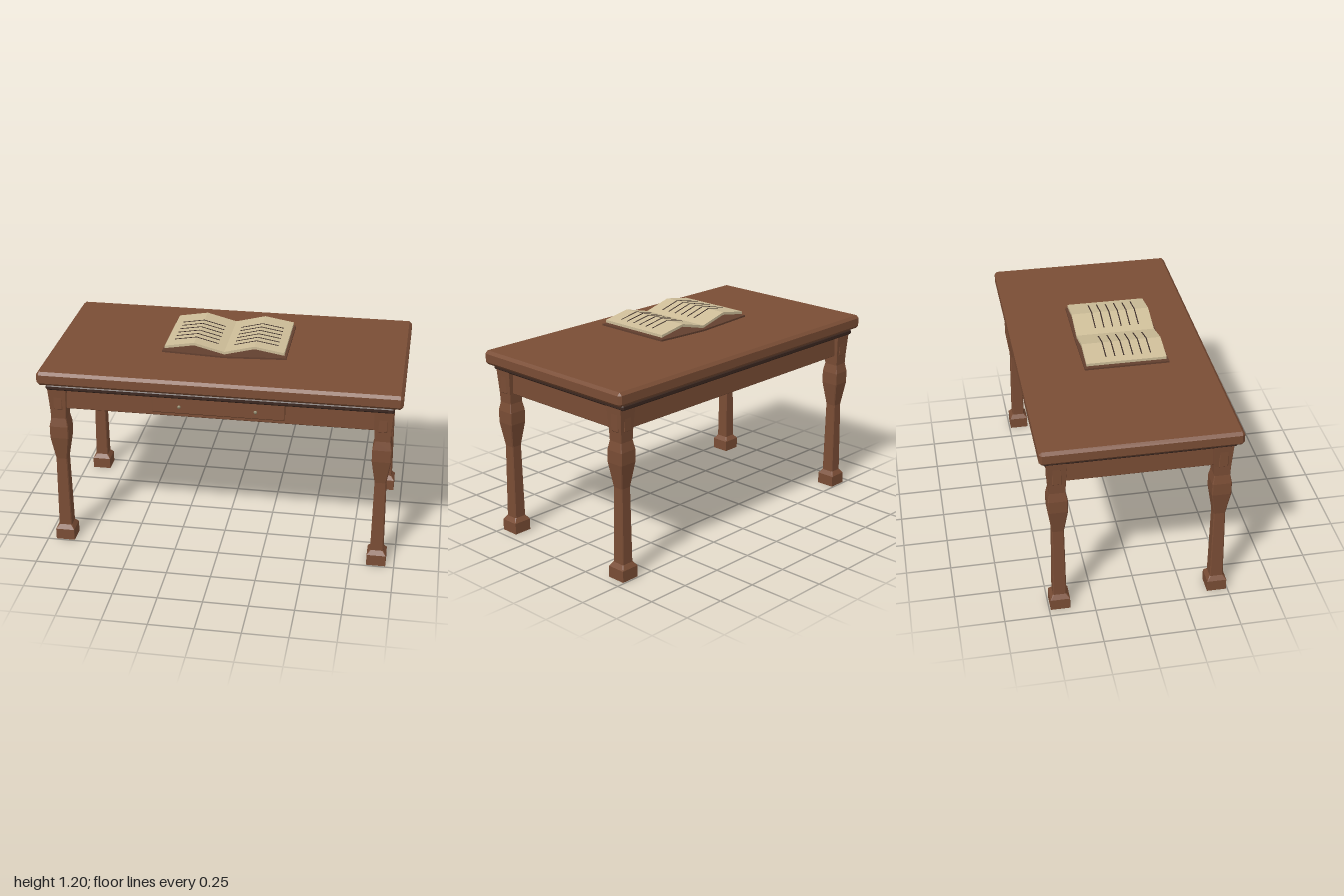
import * as THREE from 'three';
import { ConvexGeometry } from 'three/addons/geometries/ConvexGeometry.js';

const material = (name, color) => {
  const m = new THREE.MeshStandardMaterial({ color });
  m.name = name;
  return m;
};

// Box with every edge cut at 45 degrees, w/h/d overall sizes, b the cut
function chamferBox(w, h, d, b) {
  const points = [];
  for (const sx of [-1, 1]) for (const sy of [-1, 1]) for (const sz of [-1, 1]) {
    const x = w / 2, y = h / 2, z = d / 2;
    points.push(
      new THREE.Vector3(sx * x, sy * (y - b), sz * (z - b)),
      new THREE.Vector3(sx * (x - b), sy * y, sz * (z - b)),
      new THREE.Vector3(sx * (x - b), sy * (y - b), sz * z));
  }
  return new ConvexGeometry(points);
}

// Square leg with cut corners; rings are [y, half width, corner cut]
function legGeometry(rings) {
  const pos = [];
  const section = ([y, r, c]) => [
    [r, r - c], [r - c, r], [c - r, r], [-r, r - c],
    [-r, c - r], [c - r, -r], [r - c, -r], [r, c - r],
  ].map(([x, z]) => [x, y, z]);
  const loops = rings.map(section);
  for (let i = 0; i < loops.length - 1; i++) {
    for (let j = 0; j < 8; j++) {
      const k = (j + 1) % 8;
      const [a, b, c, d] = [loops[i][j], loops[i][k], loops[i + 1][k], loops[i + 1][j]];
      pos.push(...a, ...d, ...c, ...a, ...c, ...b);
    }
  }
  const bottom = loops[0], top = loops[loops.length - 1];
  for (let j = 1; j < 7; j++) {
    pos.push(...bottom[0], ...bottom[j], ...bottom[j + 1]);
    pos.push(...top[0], ...top[j + 1], ...top[j]);
  }
  const g = new THREE.BufferGeometry();
  g.setAttribute('position', new THREE.Float32BufferAttribute(pos, 3));
  g.computeVertexNormals();
  return g;
}

// Folded sheet: an upper outline in x,y given a thickness and run from z0 to z1
function sheet(outline, thickness, z0, z1) {
  const lower = outline.map(([x, y]) => [x, y - thickness]).reverse();
  const shape = new THREE.Shape([...outline, ...lower].map(([x, y]) => new THREE.Vector2(x, y)));
  const g = new THREE.ExtrudeGeometry(shape, { depth: z1 - z0, bevelEnabled: false });
  return g.translate(0, 0, z0);
}

export function createModel() {
  const model = new THREE.Group();
  model.name = 'deskWithOpenBook';

  const wood = material('warm wood', 0x7a4d35);
  const darkWood = material('dark wood', 0x3c2820);
  const leather = material('book cover brown', 0x63402f);
  const paper = material('aged paper', 0xcdbd98);
  const ink = material('ink', 0x3a2c28);
  const metal = material('dull brass', 0x8c8468);

  const add = (name, geometry, mat, x = 0, y = 0, z = 0, parent = model) => {
    const mesh = new THREE.Mesh(geometry, mat);
    mesh.name = name;
    mesh.position.set(x, y, z);
    parent.add(mesh);
    return mesh;
  };

  // Top slab and the dark moulding beneath it
  add('tableTop', chamferBox(2, 0.079, 1.07, 0.016), wood, 0, 1.0375);
  add('mouldingNeck', new THREE.BoxGeometry(1.87, 0.02, 0.98), darkWood, 0, 0.992);
  add('moulding', chamferBox(1.91, 0.031, 1.02, 0.008), darkWood, 0, 0.979);

  // Apron rails, whose ends show through the tapering leg tops
  for (const s of [-1, 1]) {
    add(s > 0 ? 'frontApron' : 'backApron', chamferBox(1.9, 0.135, 0.05, 0.004), wood, 0, 0.905, s * 0.44);
    add(s > 0 ? 'leftApron' : 'rightApron', chamferBox(0.05, 0.135, 0.975, 0.004), wood, s * 0.897, 0.905, 0);
  }

  // Four turned-in legs
  const leg = legGeometry([
    [0, 0.054, 0.001], [0.065, 0.054, 0.001], [0.09, 0.037, 0.005],
    [0.52, 0.032, 0.005], [0.66, 0.053, 0.005], [0.73, 0.053, 0.005],
    [0.78, 0.043, 0.003], [0.84, 0.045, 0.002], [0.965, 0.053, 0.001], [0.998, 0.054, 0.001],
  ]);
  for (const sx of [-1, 1]) for (const sz of [-1, 1]) {
    add(`${sz > 0 ? 'front' : 'back'}${sx > 0 ? 'Left' : 'Right'}Leg`, leg, wood, sx * 0.899, 0, sz * 0.438);
  }

  // Drawer front with two small knobs
  const drawer = new THREE.Group();
  drawer.name = 'drawer';
  model.add(drawer);
  add('drawerFront', chamferBox(0.735, 0.11, 0.04, 0.006), wood, 0, 0.915, 0.46, drawer);
  for (const s of [-1, 1]) {
    const knob = add(s > 0 ? 'leftKnob' : 'rightKnob', new THREE.SphereGeometry(0.01, 10, 8), metal,
      s * 0.21, 0.915, 0.506, drawer);
    knob.scale.z = 0.7;
  }

  // Open book: cover, folded pages and ruled strokes
  const book = new THREE.Group();
  book.name = 'openBook';
  model.add(book);
  add('bookCover', sheet([[-0.345, 1.143], [0, 1.13], [0.345, 1.143]], 0.01, -0.19, 0.277), leather, 0, 0, 0, book);
  add('pages', sheet([[-0.333, 1.166], [-0.168, 1.194], [0, 1.151], [0.168, 1.194], [0.333, 1.166]],
    0.015, -0.18, 0.263), paper, 0, 0, 0, book);
  for (const s of [-1, 1]) {
    const stroke = [[0.045, 1.1645], [0.168, 1.196], [0.29, 1.1753]].map(([x, y]) => [s * x, y]);
    for (let i = 0; i < 6; i++) {
      const z = -0.065 + i * 0.0495;
      add('writingLine', sheet(stroke, 0.004, z - 0.003, z + 0.003), ink, 0, 0, 0, book);
    }
  }
  return model;
}
